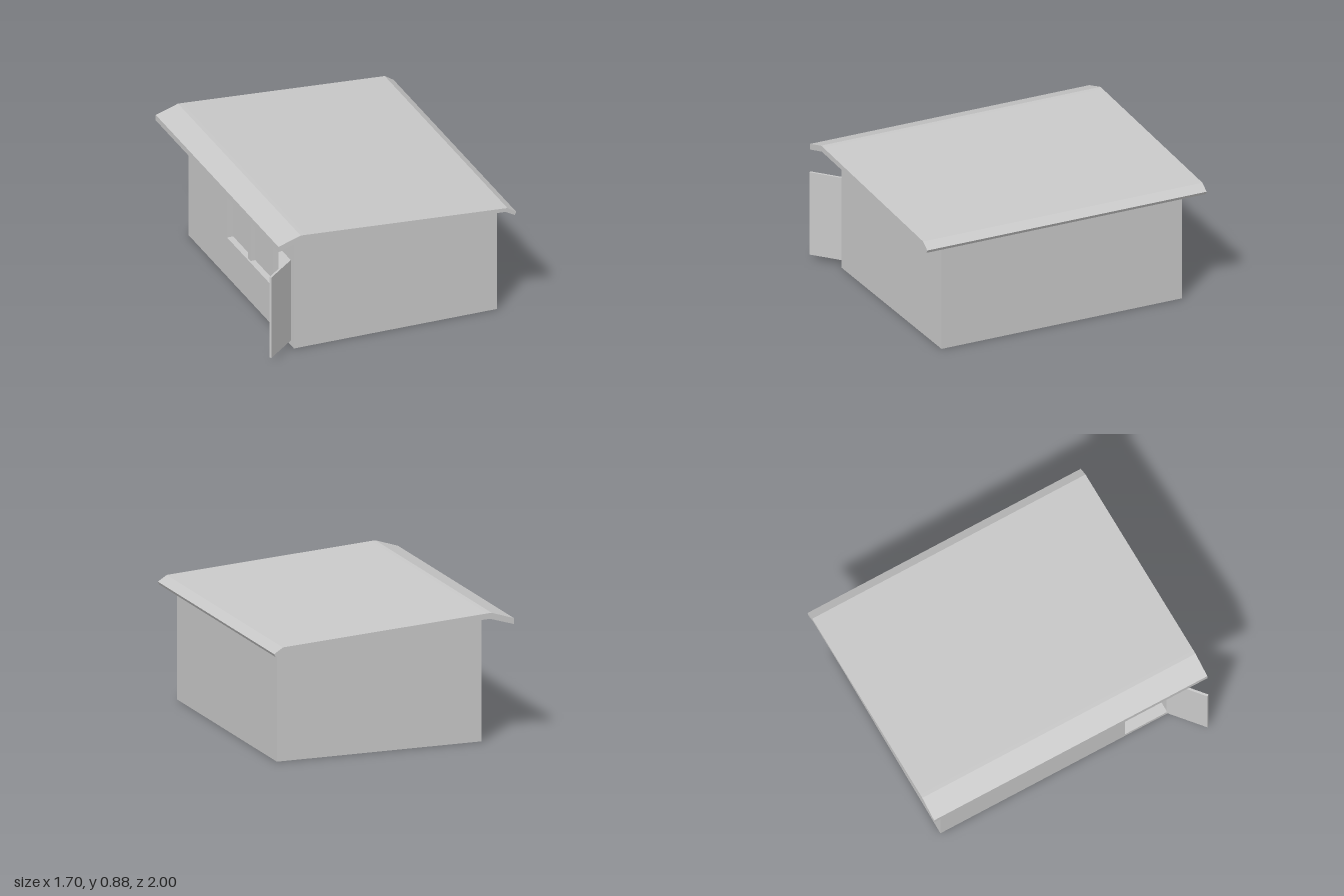
import * as THREE from 'three';

export function createModel() {
  const model = new THREE.Group();
  const grey = new THREE.MeshStandardMaterial({ color: 0xc8c8c8 });
  grey.name = 'plain grey';

  const add = (name, geometry, x = 0, y = 0, z = 0) => {
    const mesh = new THREE.Mesh(geometry, grey);
    mesh.name = name;
    mesh.position.set(x, y, z);
    model.add(mesh);
    return mesh;
  };
  const box = (name, x0, x1, y0, y1, z0, z1) => add(name,
    new THREE.BoxGeometry(x1 - x0, y1 - y0, z1 - z0),
    (x0 + x1) / 2, (y0 + y1) / 2, (z0 + z1) / 2);
  const extrude = (points, depth) => new THREE.ExtrudeGeometry(
    new THREE.Shape(points.map(([x, y]) => new THREE.Vector2(x, y))),
    { depth, bevelEnabled: false });

  const left = 0.772, right = -0.635, end = 0.86, wall = 0.06, inner = end - wall;

  // End walls with sloping tops
  const gable = [[right, 0], [left, 0], [left, 0.763], [right, 0.841]];
  add('frontWall', extrude(gable, wall), 0, 0, inner);
  add('backWall', extrude(gable, wall), 0, 0, -end);

  // Closed side wall and floor
  box('leftWall', left - wall, left, 0, 0.764, -inner, inner);
  box('floor', right + wall, left - wall, 0, 0.03, -inner, inner);

  // Open side wall: doorway joined to a wide window
  const openWall = extrude([
    [-inner, 0], [inner, 0], [inner, 0.03], [0.49, 0.03], [0.49, 0.28],
    [-0.23, 0.28], [-0.23, 0.61], [inner, 0.61], [inner, 0.84], [-inner, 0.84],
  ], wall);
  openWall.rotateY(-Math.PI / 2);
  add('rightWall', openWall, right + wall);

  // Window posts and recessed panes
  for (const z of [0.09, 0.45]) {
    box('windowPost', right + 0.01, right + 0.05, 0.28, 0.61, z, z + 0.04);
  }
  for (const [z0, z1] of [[-0.23, 0.09], [0.13, 0.45]]) {
    box('windowPane', right + 0.042, right + 0.05, 0.28, 0.61, z0, z1);
  }

  // Door standing open on its hinge at the front corner
  const doorGeometry = new THREE.BoxGeometry(0.28, 0.577, 0.015);
  doorGeometry.translate(-0.14, 0, 0);
  const door = add('door', doorGeometry, right, 0.3215, 0.798);
  door.rotation.y = 0.7;

  // Roof slab with both eaves bent down
  add('roof', extrude([
    [-0.802, 0.79], [-0.635, 0.841], [0.772, 0.763], [0.836, 0.728],
    [0.847, 0.749], [0.786, 0.788], [-0.62, 0.878], [-0.648, 0.879], [-0.802, 0.829],
  ], 2), 0, 0, -1);

  return model;
}
